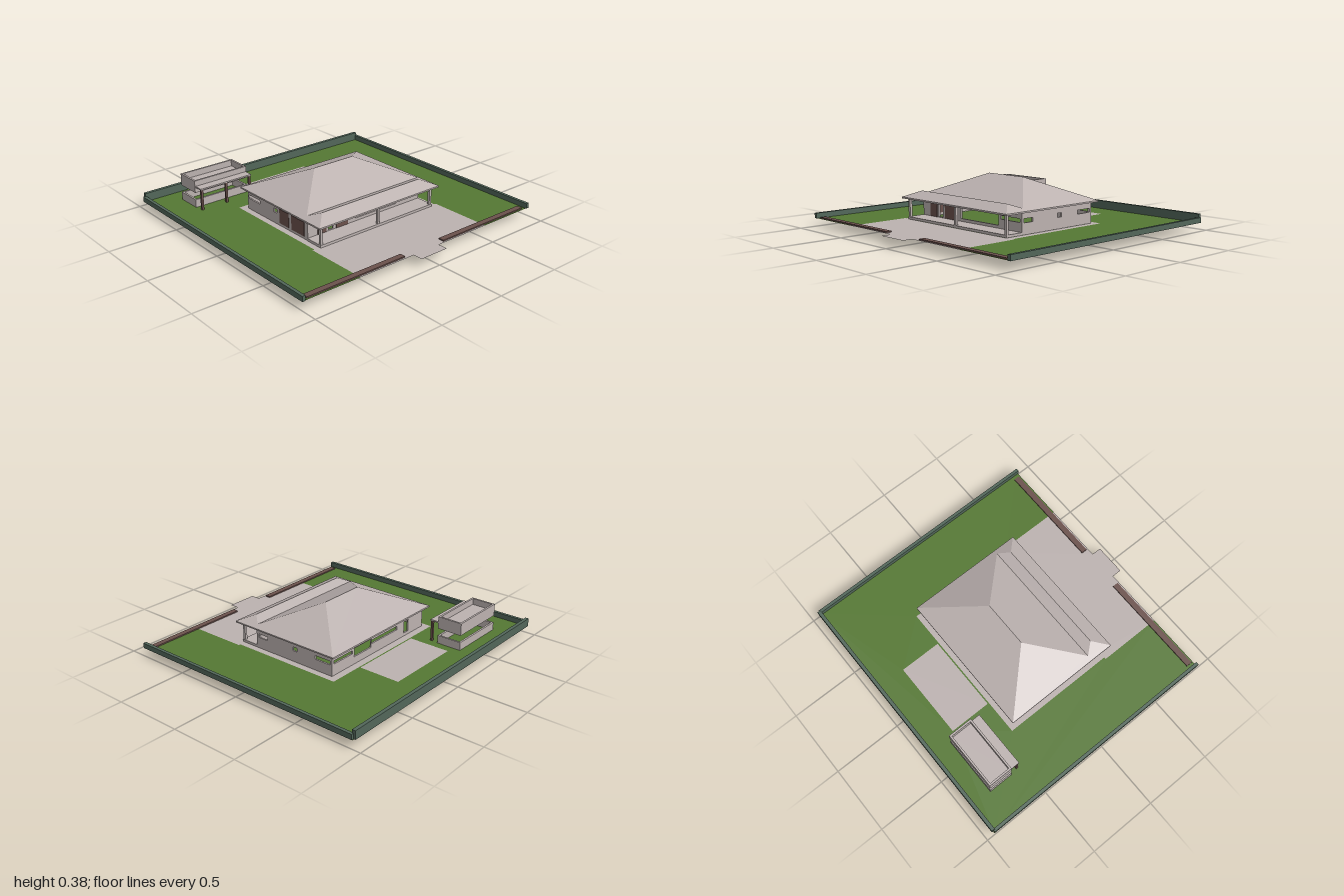
import * as THREE from 'three';

const mat = (name, color, side = THREE.FrontSide) => {
  const m = new THREE.MeshStandardMaterial({ color, side });
  m.name = name;
  return m;
};

export function createModel() {
  const root = new THREE.Group();
  root.name = 'houseOnLot';
  const stone = mat('stone', 0xbcb2b0, THREE.DoubleSide);
  const grass = mat('grass', 0x557833, THREE.DoubleSide);
  const hedge = mat('hedge', 0x52675a);
  const wood = mat('wood', 0x6b514c);
  const G = 0.06; // ground level

  const add = (name, geo, material, parent = root) => {
    const m = new THREE.Mesh(geo, material);
    m.name = name;
    parent.add(m);
    return m;
  };
  const group = (name) => {
    const g = new THREE.Group();
    g.name = name;
    root.add(g);
    return g;
  };
  // Box given by its extents along each axis
  const box = (name, [x0, x1], [y0, y1], [z0, z1], material, parent) => {
    const geo = new THREE.BoxGeometry(x1 - x0, y1 - y0, z1 - z0);
    geo.translate((x0 + x1) / 2, (y0 + y1) / 2, (z0 + z1) / 2);
    return add(name, geo, material, parent);
  };
  const shapeOf = (pts) => new THREE.Shape(pts.map(([a, b]) => new THREE.Vector2(a, b)));
  const rect = (a0, a1, b0, b1) => [[a0, b0], [a1, b0], [a1, b1], [a0, b1]];
  // Flat ground area from (x, z) corners
  const ground = (name, pts, material, holes = []) => {
    const flip = (p) => p.map(([x, z]) => [x, -z]);
    const s = shapeOf(flip(pts));
    for (const h of holes) s.holes.push(shapeOf(flip(h)));
    const geo = new THREE.ShapeGeometry(s);
    geo.rotateX(-Math.PI / 2);
    geo.translate(0, G, 0);
    return add(name, geo, material);
  };

  // Lawn, paving and pool basin
  const patio = rect(-0.285, 0.28, -0.73, -0.425);
  const floor = rect(-0.49, 0.49, -0.355, 0.43);
  const ring = [[0.555, 0.88], [0.555, 0.42], [0.54, 0.42], [0.54, -0.415],
    [-0.54, -0.415], [-0.54, 0.42], [-0.555, 0.42], [-0.555, 0.88]];
  ground('lawn', [[-1, -0.94], [1, -0.94], [1, 0.88], ...ring, [-1, 0.88]], grass, [patio]);
  ground('lawnUnderHouse', floor, grass);
  ground('driveway', [...ring, [-0.113, 0.88], [-0.113, 0.95], [0.113, 0.95], [0.113, 0.88]], stone, [floor]);
  ground('patio', patio, stone);
  box('poolBasin', [-0.23, 0.225], [0, G - 0.001], [-0.67, -0.48], stone);

  // Hedges and low front fence
  box('backHedge', [-0.985, 0.985], [G, 0.12], [-0.95, -0.925], hedge);
  for (const s of [-1, 1]) {
    box('sideHedge', s < 0 ? [-1, -0.977] : [0.977, 1], [G, 0.097], [-0.935, 0.885], hedge);
    box('frontFence', s < 0 ? [-0.955, -0.175] : [0.168, 0.95], [G, G + 0.009], [0.825, 0.867], wood);
  }

  // House walls, with window openings given as [from, to, bottom, top]
  const house = group('house');
  const T = 0.012, TOP = 0.212, X = 0.497, ZB = -0.365, ZF = 0.3;
  const wall = (name, a0, a1, holes) => {
    const s = shapeOf(rect(a0, a1, G + 0.002, TOP));
    for (const h of holes) s.holes.push(shapeOf(rect(...h)));
    return add(name, new THREE.ExtrudeGeometry(s, { depth: T, bevelEnabled: false }), stone, house);
  };
  wall('frontWall', -X, X, [
    [-0.325, -0.285, 0.085, 0.172], [-0.09, 0.28, 0.1, 0.178], [0.3, 0.48, 0.143, 0.167],
  ]).position.z = ZF - T;
  wall('backWall', -X, X, [
    [-0.33, -0.28, 0.085, 0.172], [-0.2, 0.085, 0.14, 0.167], [0.09, 0.27, 0.115, 0.176], [0.29, 0.475, 0.143, 0.167],
  ]).position.z = ZB;
  // Side walls run along z; the outline coordinate is -z
  const sideHoles = [[0.03, 0.068, 0.14, 0.168], [0.225, 0.35, 0.14, 0.167]];
  const sideWalls = [['rightWall', -X, sideHoles], ['leftWall', X - T, [[-0.28, -0.2, 0.14, 0.167], ...sideHoles]]];
  for (const [name, x, holes] of sideWalls) {
    const w = wall(name, -ZF, -ZB, holes);
    w.rotation.y = Math.PI / 2;
    w.position.x = x;
  }

  // Wooden doors
  for (const [x0, x1] of [[-0.415, -0.345], [-0.26, -0.16]])
    box('frontDoor', [x0, x1], [0.08, 0.182], [ZF - T - 0.003, ZF + 0.003], wood, house);
  for (const [z0, z1] of [[0.0, 0.1], [0.13, 0.265]])
    box('sideDoor', [-X - 0.003, -X + T + 0.003], [0.08, 0.182], [z0, z1], wood, house);

  // Porch floor and posts
  box('porchFloor', [-0.5, X], [G + 0.002, 0.08], [ZF, 0.435], stone, house);
  for (const x of [-0.49, 0, 0.485])
    box('porchPost', [x - 0.009, x + 0.009], [0.08, TOP], [0.415, 0.433], stone, house);

  // Hipped roof with a second small ridge above the porch
  box('eaves', [-0.532, 0.528], [0.209, 0.22], [-0.402, 0.466], stone, house);
  const roofPoint = (x, z) => [x, 0.22 + 0.444 * (0.53 - Math.abs(x)), z];
  const half = (s) => [[0.53, -0.4], [0.53, 0.465], [0.43, 0.365], [0.495, 0.29], [0.17, -0.035]]
    .map(([x, z]) => roofPoint(s * x, z));
  const [A, B, C, D, E] = half(-1);
  const [a, b, c, d, e] = half(1);
  const faces = [
    [D, E, A, B, C], [d, c, b, a, e], // hips at both ends
    [D, d, e, E], [a, A, E, e],       // main slopes
    [B, b, c, C], [C, c, d, D],       // porch slopes
  ];
  const verts = [];
  for (const f of faces)
    for (let i = 1; i < f.length - 1; i++) verts.push(...f[0], ...f[i], ...f[i + 1]);
  const roofGeo = new THREE.BufferGeometry();
  roofGeo.setAttribute('position', new THREE.Float32BufferAttribute(verts, 3));
  roofGeo.computeVertexNormals();
  add('roof', roofGeo, stone, house);

  // Garden pavilion: low walls, raised tray roof, canopy on posts
  const pavilion = group('pavilion');
  const px = [-0.77, -0.34], pz = [-0.79, -0.607], t = 0.014;
  const walls = (name, y) => {
    for (const z of [[pz[0], pz[0] + t], [pz[1] - t, pz[1]]]) box(name, px, y, z, stone, pavilion);
    for (const x of [[px[0], px[0] + t], [px[1] - t, px[1]]]) box(name, x, y, [pz[0] + t, pz[1] - t], stone, pavilion);
  };
  walls('lowWall', [G + 0.002, 0.12]);
  walls('parapet', [0.172, 0.26]);
  box('pavilionRoof', [px[0] + t, px[1] - t], [0.19, 0.215], [pz[0] + t, pz[1] - t], stone, pavilion);
  box('canopy', [-0.765, -0.345], [0.21, 0.22], [pz[1], -0.54], stone, pavilion);
  for (const x of [-0.752, -0.552, -0.355])
    box('canopyPost', [x - 0.008, x + 0.008], [G, 0.21], [-0.56, -0.544], wood, pavilion);

  return root;
}
